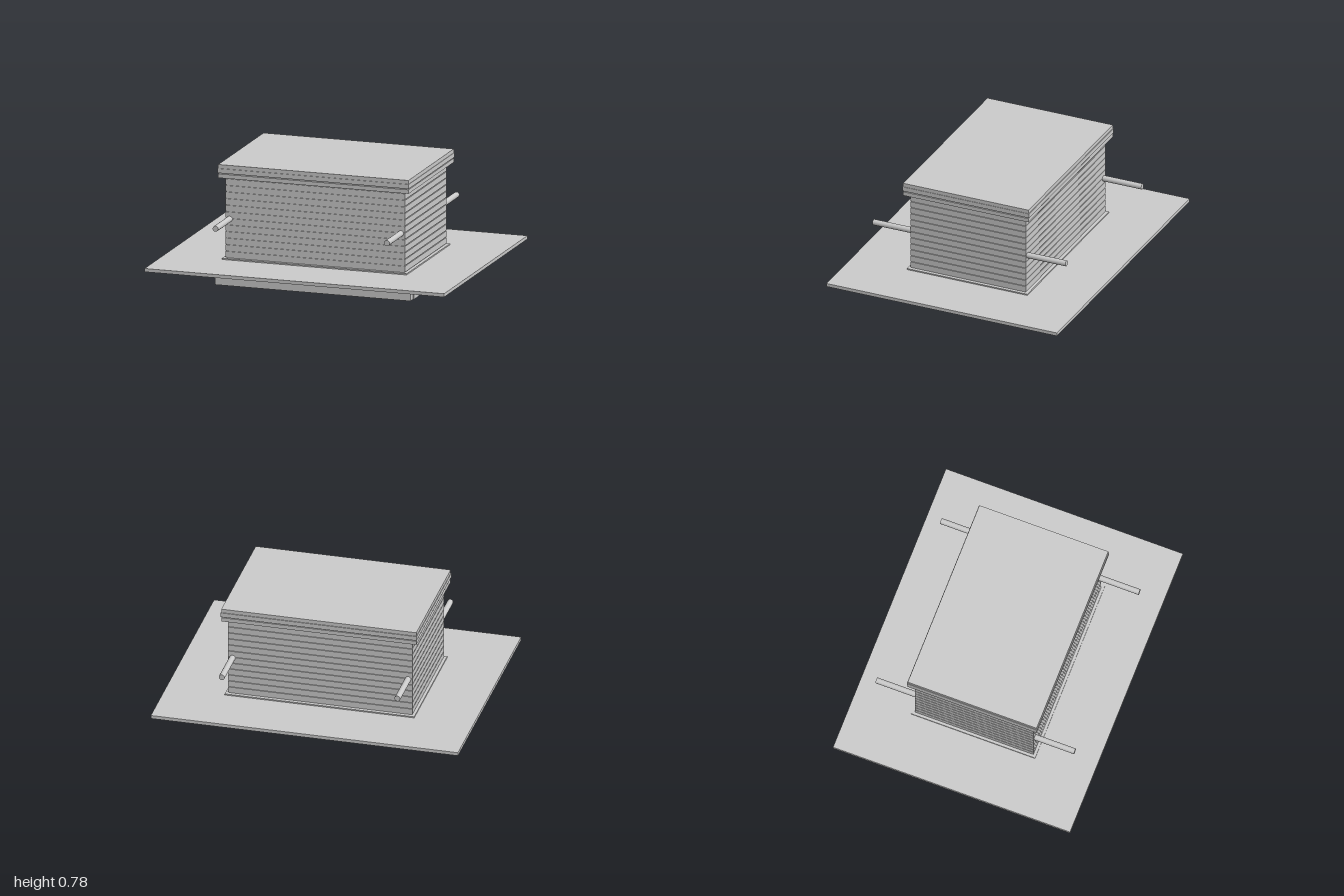
import * as THREE from 'three';

const material = new THREE.MeshStandardMaterial({ color: 0xcccccc });

export function createModel() {
  const model = new THREE.Group();
  model.name = 'slattedBox';

  // Box given by half width, half depth and its vertical extent
  function slab(name, hx, hz, y0, y1, z = 0) {
    const mesh = new THREE.Mesh(new THREE.BoxGeometry(2 * hx, y1 - y0, 2 * hz), material);
    mesh.position.set(0, (y0 + y1) / 2, z);
    mesh.name = name;
    model.add(mesh);
  }

  // Stepped foundation with two cross beams carrying the floor plate
  slab('foundationLower', 0.652, 0.447, 0, 0.07);
  slab('foundationUpper', 0.63, 0.43, 0.07, 0.122);
  for (const side of [1, -1]) slab('floorBeam', 0.66, 0.05, 0.001, 0.138, side * 0.35);

  // Wide floor plate and the trim around the foot of the walls
  slab('floorPlate', 1, 0.8, 0.138, 0.16);
  slab('footTrim', 0.617, 0.418, 0.16, 0.168);

  // Walls: horizontal boards separated by narrow grooves
  const boards = 12, bottom = 0.168, pitch = 0.0428, groove = 0.005;
  slab('wallCore', 0.594, 0.394, bottom, 0.76);
  for (let i = 0; i < boards; i++) {
    const y = bottom + i * pitch;
    slab('wallBoard', 0.6, 0.4, y + groove, y + pitch);
  }
  slab('wallTop', 0.6, 0.4, bottom + boards * pitch + groove, 0.695);

  // Cornice and lid
  slab('cornice', 0.635, 0.435, 0.693, 0.719);
  slab('lidRim', 0.638, 0.44, 0.726, 0.755);
  slab('lidTop', 0.635, 0.435, 0.755, 0.78);

  // Carrying poles running from front to back
  for (const side of [1, -1]) {
    const pole = new THREE.Mesh(new THREE.CylinderGeometry(0.019, 0.019, 1.34, 16), material);
    pole.rotation.x = Math.PI / 2;
    pole.position.set(side * 0.572, 0.422, 0);
    pole.name = side > 0 ? 'leftPole' : 'rightPole';
    model.add(pole);
  }

  return model;
}
